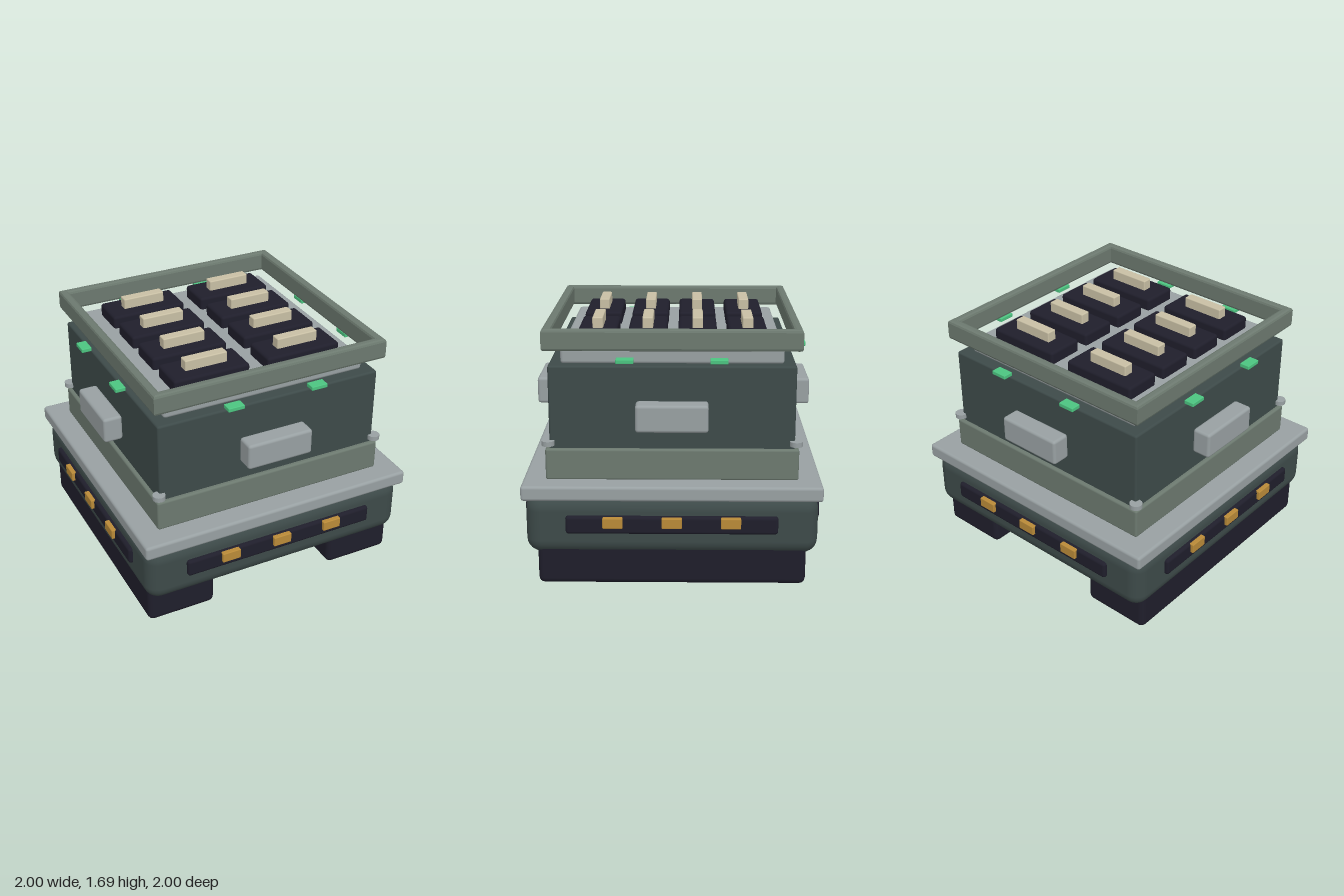
import * as THREE from 'three';
import { RoundedBoxGeometry } from 'three/addons/geometries/RoundedBoxGeometry.js';

const material = (name, color) => {
  const m = new THREE.MeshStandardMaterial({ color });
  m.name = name;
  return m;
};

export function createModel() {
  const hullGreen = material('dark green grey', 0x3d4a49);
  const trimGreen = material('light green grey', 0x6c796f);
  const steel = material('steel grey', 0x98a0a2);
  const black = material('blue black', 0x1f1e2b);
  const cream = material('cream', 0xc8bfa4);
  const amber = material('amber', 0xb98a38);
  const green = material('signal green', 0x4cc480);

  const model = new THREE.Group();
  model.name = 'turret';

  // Bevelled block given by its size, centre x and z, and bottom height
  const block = (parent, name, mat, [w, h, d], [x, y, z], bevel = 0.015, segments = 2) => {
    const mesh = new THREE.Mesh(new RoundedBoxGeometry(w, h, d, segments, bevel), mat);
    mesh.name = name;
    mesh.position.set(x, y + h / 2, z);
    parent.add(mesh);
    return mesh;
  };

  // Stacked body
  block(model, 'hull', hullGreen, [1.9, 0.4, 1.9], [0, 0.21, 0], 0.1, 3);
  block(model, 'deckPlate', steel, [1.94, 0.1, 1.94], [0, 0.59, 0], 0.02);
  block(model, 'collar', trimGreen, [1.64, 0.21, 1.64], [0, 0.685, 0]);
  block(model, 'upperBody', hullGreen, [1.586, 0.56, 1.586], [0, 0.88, 0]);
  block(model, 'topPlate', steel, [1.434, 0.1, 1.434], [0, 1.435, 0], 0.02);

  // Treads
  for (const side of [-1, 1]) {
    block(model, side > 0 ? 'leftTread' : 'rightTread', black,
      [0.48, 0.33, 1.75], [side * 0.685, 0, 0], 0.04);
  }

  // Open square rim floating over the top plate
  const square = (path, r) => path.moveTo(-r, -r).lineTo(r, -r).lineTo(r, r).lineTo(-r, r).closePath();
  const rimShape = square(new THREE.Shape(), 0.825);
  rimShape.holes.push(square(new THREE.Path(), 0.765));
  const rimGeometry = new THREE.ExtrudeGeometry(rimShape, {
    depth: 0.104, bevelThickness: 0.018, bevelSize: 0.018, bevelOffset: -0.018, bevelSegments: 2,
  });
  rimGeometry.rotateX(-Math.PI / 2);
  const rim = new THREE.Mesh(rimGeometry, trimGreen);
  rim.name = 'rim';
  rim.position.y = 1.558;
  model.add(rim);

  // Two columns of four hatches with handles
  for (const x of [-0.33, 0.33]) {
    for (let row = 0; row < 4; row++) {
      const z = (row - 1.5) * 0.328;
      block(model, 'hatch', black, [0.53, 0.1, 0.255], [x, 1.52, z], 0.02);
      block(model, 'hatchHandle', cream, [0.295, 0.08, 0.07], [x, 1.61, z], 0.008);
    }
  }

  // The same fittings on all four sides
  for (let i = 0; i < 4; i++) {
    const side = new THREE.Group();
    side.name = ['front', 'left', 'back', 'right'][i] + 'Fittings';
    side.rotation.y = i * Math.PI / 2;
    model.add(side);
    block(side, 'sideBox', steel, [0.464, 0.18, 0.132], [0, 1.038, 0.867], 0.02);
    block(side, 'lampStrip', black, [1.37, 0.12, 0.06], [0, 0.37, 0.948], 0.02);
    for (const x of [-0.38, 0, 0.38]) {
      block(side, 'amberLamp', amber, [0.13, 0.07, 0.04], [x, 0.417, 0.98], 0.006);
    }
    for (const x of [-0.297, 0.297]) {
      block(side, 'signalLight', green, [0.113, 0.028, 0.07], [x, 1.474, 0.849], 0.005);
    }

    // Corner bolt
    const bolt = new THREE.Mesh(new THREE.CylinderGeometry(0.042, 0.042, 0.032, 12), steel);
    bolt.name = 'cornerBolt';
    bolt.position.set(0.8, 0.932, 0.8);
    side.add(bolt);
  }
  return model;
}
